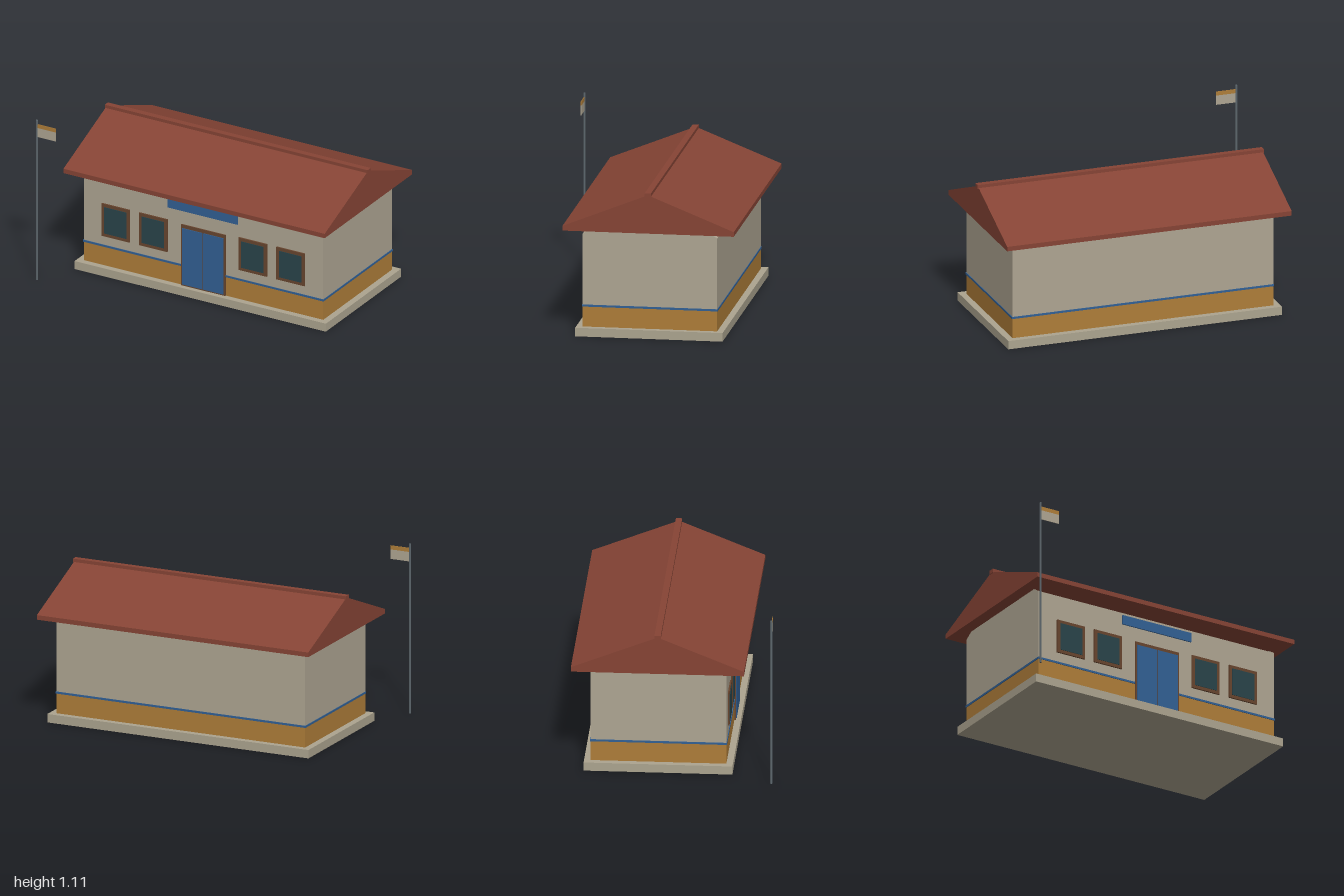
import * as THREE from 'three';

const paint = (name, color) => {
  const m = new THREE.MeshStandardMaterial({ color });
  m.name = name;
  return m;
};

export function createModel() {
  const model = new THREE.Group();
  model.name = 'building';
  const plaster = paint('plaster', 0xaea592);
  const stone = paint('stone', 0xaca48f);
  const ochre = paint('ochre', 0xae7d39);
  const blue = paint('blue', 0x326094);
  const tile = paint('roofTile', 0x864435);
  const wood = paint('brownWood', 0x68452e);
  const glass = paint('darkGlass', 0x29444a);
  const steel = paint('steel', 0x5c666c);

  const add = (name, geometry, material, parent = model) => {
    const mesh = new THREE.Mesh(geometry, material);
    mesh.name = name;
    parent.add(mesh);
    return mesh;
  };
  // Box given by its lower and upper limits on each axis
  const box = (name, material, x0, x1, y0, y1, z0, z1, parent) =>
    add(name, new THREE.BoxGeometry(x1 - x0, y1 - y0, z1 - z0)
      .translate((x0 + x1) / 2, (y0 + y1) / 2, (z0 + z1) / 2), material, parent);
  // Prism along x from a [z, y] outline
  const prism = (name, material, outline, x0, x1) => {
    const shape = new THREE.Shape(outline.map(([z, y]) => new THREE.Vector2(-z, y)));
    const g = new THREE.ExtrudeGeometry(shape, { depth: x1 - x0, bevelEnabled: false });
    return add(name, g.rotateY(Math.PI / 2).translate(x0, 0, 0), material);
  };

  const L = -0.825, R = 0.912, F = 0.336, B = -0.517, mid = -0.09;

  // Plinth, painted lower wall and plaster walls
  box('plinth', stone, -0.868, 0.955, 0, 0.055, -0.558, 0.377);
  box('lowerWall', ochre, L, R, 0.055, 0.185, B, F);
  box('upperWall', plaster, L, R, 0.185, 0.652, B, F);

  // Blue band round the walls, broken at the door
  const t = 0.004;
  box('bandFrontRight', blue, L - t, -0.115, 0.184, 0.197, F, F + t);
  box('bandFrontLeft', blue, 0.205, R + t, 0.184, 0.197, F, F + t);
  box('bandBack', blue, L - t, R + t, 0.184, 0.197, B - t, B);
  box('bandRight', blue, L - t, L, 0.184, 0.197, B, F);
  box('bandLeft', blue, R, R + t, 0.184, 0.197, B, F);

  // Thin gable plates between the walls and the roof
  const gable = [[F, 0.652], [0.275, 0.69], [-0.456, 0.69], [B, 0.652]];
  prism('gableRight', plaster, gable, L, L + 0.006);
  prism('gableLeft', plaster, gable, R - 0.006, R);

  // Roof and ridge cap
  prism('roof', tile, [[0.452, 0.686], [0.452, 0.716], [mid, 0.933],
    [-0.635, 0.716], [-0.635, 0.686]], -0.905, 0.99);
  box('ridgeCap', tile, -0.91, 0.997, 0.92, 0.946, mid - 0.02, mid + 0.02);

  // Windows
  for (const x of [-0.59, -0.317, 0.404, 0.679]) {
    const win = new THREE.Group();
    win.name = 'window';
    model.add(win);
    box('windowFrame', wood, x - 0.102, x + 0.102, 0.26, 0.484, F - 0.005, 0.346, win);
    box('windowPane', glass, x - 0.081, x + 0.081, 0.281, 0.463, 0.342, 0.349, win);
  }

  // Double door
  const door = new THREE.Group();
  door.name = 'door';
  model.add(door);
  box('doorFrame', wood, -0.115, 0.205, 0.055, 0.476, F - 0.005, 0.345, door);
  for (const [x0, x1] of [[-0.104, 0.042], [0.048, 0.194]])
    box('doorLeaf', blue, x0, x1, 0.064, 0.453, 0.341, 0.35, door);

  // Blank sign board over the door
  box('signBoard', blue, -0.21, 0.297, 0.571, 0.633, 0.339, 0.347);

  // Flagpole with a two-coloured flag
  const pole = new THREE.Group();
  pole.name = 'flagpole';
  model.add(pole);
  add('pole', new THREE.CylinderGeometry(0.007, 0.007, 1.105, 12)
    .translate(-0.993, 0.5525, 0.63), steel, pole);
  box('flagUpper', ochre, -0.987, -0.857, 1.052, 1.078, 0.628, 0.632, pole);
  box('flagLower', plaster, -0.987, -0.857, 0.99, 1.052, 0.628, 0.632, pole);

  return model;
}
